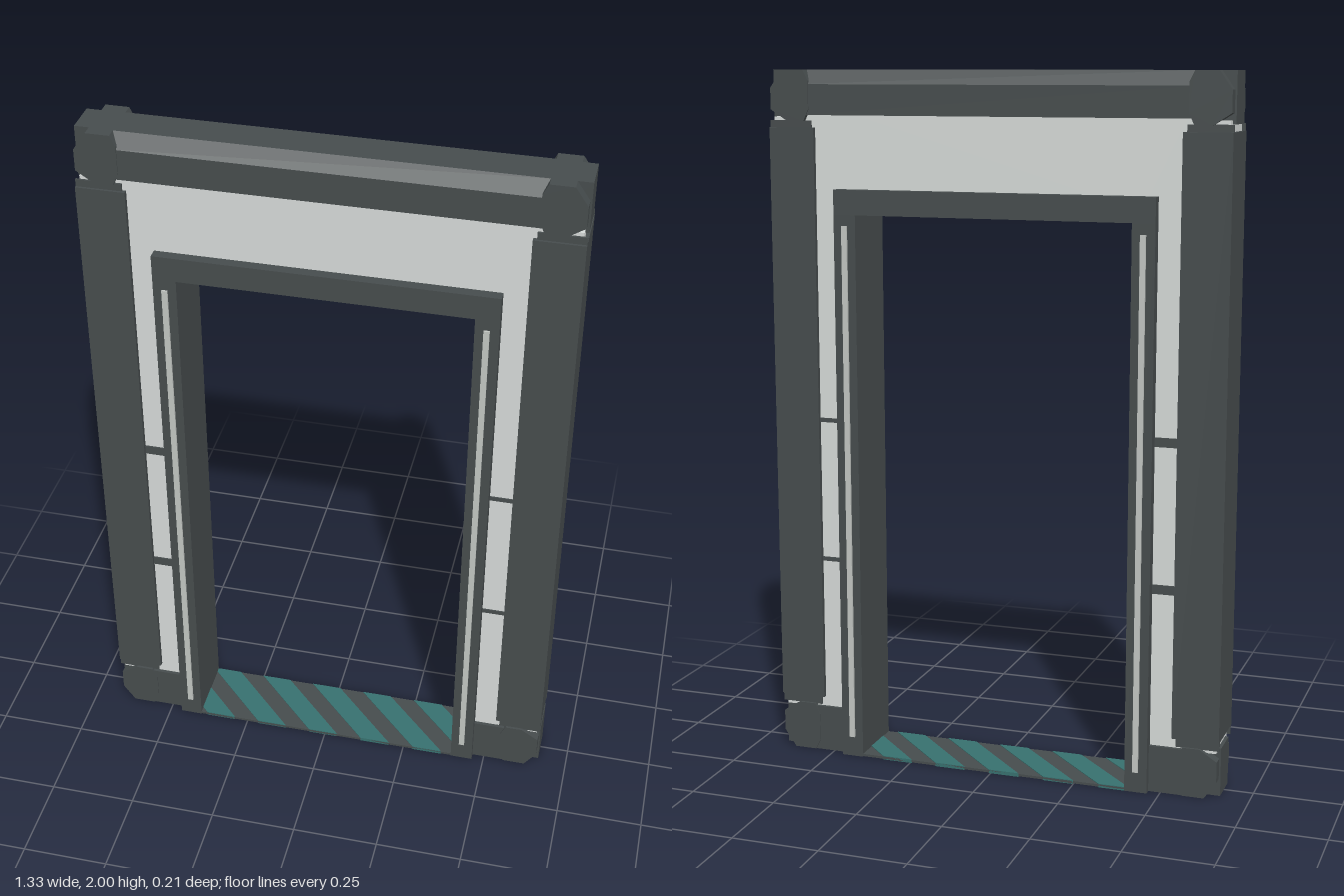
import * as THREE from 'three';

const mat = (name, color) => {
  const m = new THREE.MeshStandardMaterial({ color });
  m.name = name;
  return m;
};

export function createModel() {
  const root = new THREE.Group();
  root.name = 'doorway';
  const dark = mat('dark grey metal', 0x464c4d);
  const pale = mat('pale panel', 0xd6dad8);
  const strip = mat('light strip', 0xc2c6c2);
  const teal = mat('teal stripe', 0x37716f);

  const add = (name, geo, material, parent = root) => {
    const mesh = new THREE.Mesh(geo, material);
    mesh.name = name;
    parent.add(mesh);
    return mesh;
  };
  // Box given by its limits on each axis
  const box = (name, material, x0, x1, y0, y1, z0, z1, parent) => {
    const geo = new THREE.BoxGeometry(x1 - x0, y1 - y0, z1 - z0);
    geo.translate((x0 + x1) / 2, (y0 + y1) / 2, (z0 + z1) / 2);
    return add(name, geo, material, parent);
  };
  const extrude = (pts, depth) => new THREE.ExtrudeGeometry(
    new THREE.Shape(pts.map(([x, y]) => new THREE.Vector2(x, y))),
    { depth, bevelEnabled: false });

  // Pale wall panel around the opening
  const wall = extrude([[-0.56, 0.08], [-0.42, 0.08], [-0.42, 1.63], [0.42, 1.63],
    [0.42, 0.08], [0.56, 0.08], [0.56, 1.92], [-0.56, 1.92]], 0.14);
  add('wallPanel', wall.translate(0, 0, -0.07), pale);

  // Top beam with sloped upper edges
  const beam = extrude([[-0.08, 1.875], [0.08, 1.875], [0.08, 1.96], [0.052, 2],
    [-0.052, 2], [-0.08, 1.96]], 1.14);
  add('topBeam', beam.translate(0, 0, -0.57).rotateY(Math.PI / 2), dark);

  // Door frame
  box('frameHeader', dark, -0.465, 0.465, 1.6, 1.67, -0.1, 0.1);

  for (const s of [-1, 1]) {
    const side = new THREE.Group();
    side.name = s > 0 ? 'leftSide' : 'rightSide';
    root.add(side);
    const sideBox = (name, m, x0, x1, y0, y1, z0, z1) =>
      box(name, m, Math.min(s * x0, s * x1), Math.max(s * x0, s * x1), y0, y1, z0, z1, side);

    sideBox('column', dark, 0.53, 0.665, 0.165, 1.84, -0.083, 0.083);
    sideBox('frameJamb', dark, 0.4, 0.465, 0, 1.6, -0.1, 0.1);
    sideBox('bottomBeam', dark, 0.46, 0.57, 0, 0.135, -0.08, 0.08);

    // Light strips on both faces of the jamb
    for (const z of [-1, 1]) {
      sideBox('lightStrip', strip, 0.424, 0.44, 0.06, 1.57, z * 0.102 - 0.004, z * 0.102 + 0.004);
    }
    // Bands across the narrow wall panel
    const h = s < 0 ? 0.013 : 0.006;
    for (const y of [0.59, 1.005]) {
      sideBox('panelBand', dark, 0.46, 0.535, y - h, y + h, -0.074, 0.074);
    }

    // Corner joints, top and bottom
    for (const top of [false, true]) {
      const Y = (d) => (top ? 2 - d : d);
      const yBox = (name, m, x0, x1, a, b, z0, z1) =>
        sideBox(name, m, x0, x1, Math.min(Y(a), Y(b)), Math.max(Y(a), Y(b)), z0, z1);
      yBox('cornerCore', dark, 0.55, 0.665, 0, 0.14, -0.05, 0.05);
      yBox('cornerNeck', pale, 0.54, 0.655, 0.13, 0.168, -0.07, 0.07);
      for (const z of [-1, 1]) {
        yBox('neckPlate', dark, 0.54, 0.665, 0.14, 0.168, z * 0.073 - 0.003, z * 0.073 + 0.003);
        // Faceted lobe clamped to each face
        const lobe = [[0.56, 0], [0.625, 0], [0.66, 0.05], [0.66, 0.11], [0.61, 0.142],
          [0.56, 0.142], [0.545, 0.11], [0.545, 0.03]].map(([x, d]) => [s * x, Y(d)]);
        const geo = extrude(lobe, 0.073);
        add('cornerLobe', geo.translate(0, 0, z > 0 ? 0.01 : -0.083), dark, side);
      }
    }
  }

  // Threshold with diagonal stripes
  box('threshold', dark, -0.4, 0.4, 0.002, 0.009, -0.1, 0.1);
  // Cuts a polygon at x = limit, keeping the side towards the centre
  const clip = (pts, dir) => pts.flatMap((p, i) => {
    const q = pts[(i + 1) % pts.length];
    const a = 0.4 - dir * p[0], b = 0.4 - dir * q[0];
    const out = a >= 0 ? [p] : [];
    if (a * b < 0) {
      const t = a / (a - b);
      out.push([p[0] + (q[0] - p[0]) * t, p[1] + (q[1] - p[1]) * t]);
    }
    return out;
  });
  for (let i = 0; i < 6; i++) {
    const u = -0.48 + i * 0.165, w = 0.09;
    const pts = clip(clip([[u + 0.1, -0.1], [u + w + 0.1, -0.1],
      [u + w - 0.1, 0.1], [u - 0.1, 0.1]], 1), -1);
    if (pts.length < 3) continue;
    add('thresholdStripe', extrude(pts, 0.011).rotateX(-Math.PI / 2), teal);
  }
  return root;
}
